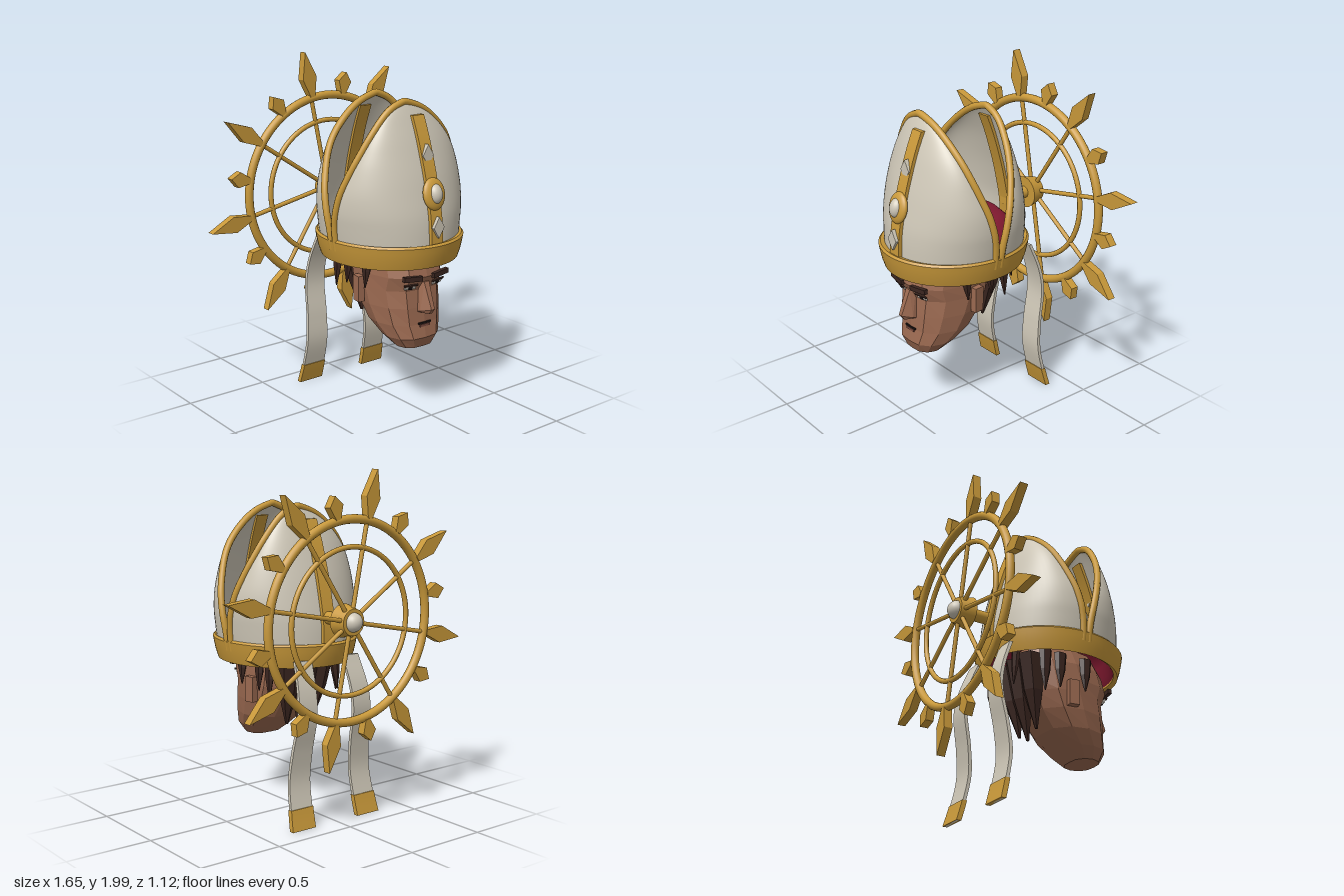
import * as THREE from 'three';
import { toCreasedNormals } from 'three/addons/utils/BufferGeometryUtils.js';
import { ConvexGeometry } from 'three/addons/geometries/ConvexGeometry.js';

const V = (x, y, z) => new THREE.Vector3(x, y, z);

function material(name, color, extra = {}) {
  const m = new THREE.MeshStandardMaterial({ color, ...extra });
  m.name = name;
  return m;
}

// Skin a list of rings, lowest first, each running front -> +x -> back
function loft(rings, closed = true) {
  const n = rings[0].length, pos = [], idx = [];
  rings.forEach(r => r.forEach(p => pos.push(p.x, p.y, p.z)));
  const spans = closed ? n : n - 1;
  for (let i = 0; i < rings.length - 1; i++) {
    for (let j = 0; j < spans; j++) {
      const k = (j + 1) % n, a = i * n + j, b = i * n + k;
      idx.push(a, b, a + n, b, b + n, a + n);
    }
  }
  if (closed) {
    [0, rings.length - 1].forEach((i, top) => {
      const c = V(0, 0, 0);
      rings[i].forEach(p => c.addScaledVector(p, 1 / n));
      const ci = pos.length / 3;
      pos.push(c.x, c.y, c.z);
      for (let j = 0; j < n; j++) {
        const a = i * n + j, b = i * n + (j + 1) % n;
        idx.push(ci, top ? a : b, top ? b : a);
      }
    });
  }
  const g = new THREE.BufferGeometry();
  g.setAttribute('position', new THREE.Float32BufferAttribute(pos, 3));
  g.setIndex(idx);
  g.computeVertexNormals();
  return g;
}

// Strip of rectangular section following points that rise in y
function ribbon(points, halfWidth, halfThick) {
  return toCreasedNormals(loft(points.map((p, i) => {
    const w = halfWidth(i / (points.length - 1)), t = halfThick;
    return [[-w, t], [w, t], [w, -t], [-w, -t]].map(([x, z]) => V(p.x + x, p.y, p.z + z));
  })), 0.7);
}

export function createModel() {
  const root = new THREE.Group();
  root.name = 'mitredHead';
  const gold = material('gold', 0xc9993a);
  const ivory = material('ivory', 0xcfc8b8, { side: THREE.DoubleSide });
  const crimson = material('crimson', 0x8a1c34, { side: THREE.DoubleSide });
  const skin = material('skin', 0x9c6a51, { flatShading: true });
  const hair = material('hair', 0x3b2620, { flatShading: true });
  const white = material('eyeWhite', 0xd8d0c4);
  const dark = material('pupil', 0x1c1412);
  const lip = material('lip', 0x7c4c3f);
  const add = (parent, name, geo, mat, x = 0, y = 0, z = 0) => {
    const m = new THREE.Mesh(geo, mat);
    m.name = name;
    m.position.set(x, y, z);
    parent.add(m);
    return m;
  };
  const group = (parent, name, x = 0, y = 0, z = 0) => {
    const g = new THREE.Group();
    g.name = name;
    g.position.set(x, y, z);
    parent.add(g);
    return g;
  };

  // Mitre: rows of [height, half width, edge z, middle z]
  const mitre = group(root, 'mitre', 0, 0, 0.11);
  const rows = [
    [0.98, 0.385, 0.02, 0.4], [1.04, 0.395, 0.02, 0.4], [1.12, 0.405, 0.027, 0.397],
    [1.2, 0.41, 0.043, 0.388], [1.3, 0.4, 0.07, 0.367], [1.4, 0.37, 0.103, 0.343],
    [1.5, 0.328, 0.135, 0.313], [1.6, 0.268, 0.16, 0.28], [1.7, 0.18, 0.178, 0.24],
    [1.76, 0.1, 0.186, 0.212], [1.797, 0.004, 0.19, 0.193]];
  const spline = f => new THREE.CatmullRomCurve3(rows.map(f), false, 'catmullrom', 0.5);
  const edge = spline(r => V(r[1], r[0], r[2]));
  const middle = spline(r => V(0, r[0], r[3]));
  const lean = y => -0.055 * THREE.MathUtils.clamp((y - 1.5) / 0.3, 0, 1) ** 2;
  const steps = Array.from({ length: 37 }, (_, i) => i / 36);
  const shellGeo = loft(steps.map(t => {
    const e = edge.getPoint(t), f = middle.getPoint(t);
    return Array.from({ length: 33 }, (_, j) => {
      const a = (j / 16 - 1) * Math.PI / 2;
      return V(e.x * Math.sin(a) + lean(e.y), e.y, e.z + (f.z - e.z) * Math.cos(a));
    });
  }), false);
  const side = s => steps.slice(0, 36).map(t => {
    const e = edge.getPoint(t);
    return V(s * e.x + lean(e.y), e.y, e.z);
  });
  const peak = V(lean(1.8), 1.795, 0.19);
  const trimPath = new THREE.CatmullRomCurve3([...side(-1), peak, ...side(1).reverse()]);
  const trimGeo = new THREE.TubeGeometry(trimPath, 140, 0.02, 10);
  const stripePoints = steps.map(t => middle.getPoint(t)).filter(p => p.y < 1.735);
  const stripeGeo = ribbon(stripePoints, () => 0.04, 0.02);
  ['front', 'back'].forEach((name, i) => {
    const half = group(mitre, name + 'Half');
    half.rotation.y = i * Math.PI;
    add(half, 'shell', shellGeo, ivory);
    add(half, 'edgeTrim', trimGeo, gold);
    add(half, 'centreStripe', stripeGeo, gold);
  });

  // Band and crimson cap inside
  const lathe = pts => toCreasedNormals(
    new THREE.LatheGeometry(pts.map(p => new THREE.Vector2(...p)), 64), 0.6);
  const band = add(mitre, 'band', lathe([[0.36, 0.92], [0.382, 0.905], [0.396, 0.95], [0.406, 1],
    [0.411, 1.03], [0.4, 1.042], [0.365, 1.03], [0.36, 0.92]]), gold);
  band.scale.z = 1.085;
  const cap = add(mitre, 'innerCap', lathe([[0.365, 0.925], [0.345, 0.97], [0.335, 1.05],
    [0.31, 1.12], [0.25, 1.18], [0.15, 1.22], [0, 1.235]]), crimson);
  cap.scale.z = 1.08;

  // Medallion and diamonds on the front stripe
  const medal = group(root, 'medallion', 0, 1.31, 0.495);
  medal.rotation.x = -0.22;
  add(medal, 'setting', new THREE.SphereGeometry(1, 32, 16), gold).scale.set(0.075, 0.09, 0.03);
  add(medal, 'pearl', new THREE.SphereGeometry(1, 24, 16), ivory, 0, 0, 0.012)
    .scale.set(0.042, 0.056, 0.04);
  const diamond = new THREE.CylinderGeometry(1, 1, 1, 4).rotateX(Math.PI / 2).toNonIndexed();
  diamond.computeVertexNormals();
  [[1.13, 0.525], [1.515, 0.428]].forEach(([y, z]) =>
    add(root, 'diamond', diamond, ivory, 0, y, z).scale.set(0.038, 0.06, 0.038));

  // Wheel halo
  const halo = group(root, 'halo', 0, 1.18, -0.49);
  add(halo, 'outerRing', new THREE.TorusGeometry(0.56, 0.025, 14, 96), gold);
  add(halo, 'innerRing', new THREE.TorusGeometry(0.41, 0.015, 10, 80), gold);
  const ray = (tip, mid, w) => new THREE.ExtrudeGeometry(new THREE.Shape([
    [0.57, -0.015], [mid, -w], [tip, 0], [mid, w], [0.57, 0.015]].map(p => new THREE.Vector2(...p))),
  { depth: 0.05, bevelEnabled: false }).translate(0, 0, -0.025);
  const longRay = ray(0.84, 0.685, 0.049), shortRay = ray(0.7, 0.645, 0.046);
  const spoke = new THREE.CylinderGeometry(0.013, 0.013, 0.54, 10).rotateZ(Math.PI / 2).translate(0.28, 0, 0);
  for (let i = 0; i < 16; i++) {
    const a = (i + 0.5) * Math.PI / 8;
    add(halo, i % 2 ? 'shortRay' : 'longRay', i % 2 ? shortRay : longRay, gold).rotation.z = a;
    if (i % 2 === 0) add(halo, 'spoke', spoke, gold).rotation.z = a;
  }
  const rod = (r1, r2, len) => new THREE.CylinderGeometry(r1, r2, len, 32).rotateX(Math.PI / 2);
  add(halo, 'hub', rod(0.095, 0.075, 0.09), gold, 0, 0, 0.02);
  add(halo, 'hubPearl', new THREE.SphereGeometry(0.055, 24, 16), ivory, 0, 0, -0.017);
  add(halo, 'mountRod', rod(0.036, 0.036, 0.2), gold, 0, 0, 0.13);

  // Hanging ribbons with gold ends
  [-1, 1].forEach(s => {
    const path = new THREE.CatmullRomCurve3([[0.236, 0.012, -0.37], [0.229, 0.12, -0.342],
      [0.22, 0.28, -0.313], [0.21, 0.44, -0.325], [0.197, 0.65, -0.358], [0.188, 0.785, -0.34],
      [0.17, 0.95, -0.28]].map(p => V(s * p[0], p[1], p[2])));
    const pts = path.getSpacedPoints(32);
    const lappet = group(root, s > 0 ? 'leftLappet' : 'rightLappet');
    add(lappet, 'ribbon', ribbon(pts, t => 0.077 - 0.019 * t, 0.01), ivory);
    add(lappet, 'goldEnd', ribbon(pts.slice(0, 5), t => 0.081 - 0.004 * t, 0.015), gold);
  });

  // Head: rows of [height, half width, back z, front z]
  const head = group(root, 'head');
  const half = [[0.5, 0.97], [0.85, 0.8], [1, 0.5], [0.9, 0.22], [0.5, 0.02]];
  const outline = [[0, 1], ...half, [0, 0], ...half.map(([x, z]) => [-x, z]).reverse()];
  const headRows = [[0.41, 0.115, 0.25, 0.42], [0.47, 0.165, 0.17, 0.445], [0.55, 0.2, 0.07, 0.43],
    [0.65, 0.218, -0.01, 0.425], [0.75, 0.225, -0.06, 0.415], [0.83, 0.225, -0.09, 0.45],
    [0.92, 0.222, -0.11, 0.425], [1.02, 0.19, -0.09, 0.37]];
  add(head, 'skull', loft(headRows.map(([y, w, b, f]) =>
    outline.map(([x, z]) => V(x * w, y, b + (f - b) * z)))), skin);
  const pair = (...pts) => pts.flatMap(([x, y, z]) => [V(x, y, z), V(-x, y, z)]);
  add(head, 'nose', new ConvexGeometry(pair([0.018, 0.8, 0.445], [0.028, 0.8, 0.41],
    [0.012, 0.65, 0.503], [0.045, 0.635, 0.445], [0.045, 0.625, 0.41], [0.012, 0.62, 0.48])), skin);
  const plate = (w, h) => new THREE.BoxGeometry(w, h, 0.009);
  add(head, 'mouth', plate(0.09, 0.01), dark, 0, 0.555, 0.431);
  add(head, 'lowerLip', plate(0.07, 0.014), lip, 0, 0.541, 0.432);
  [-1, 1].forEach(s => {
    const eye = group(head, s > 0 ? 'leftEye' : 'rightEye', s * 0.098, 0.778, 0.418);
    eye.rotation.set(0.4, s * 0.12, 0);
    add(eye, 'white', plate(0.072, 0.024), white);
    add(eye, 'iris', plate(0.024, 0.024), dark, 0, 0, 0.003);
    add(eye, 'upperLid', plate(0.09, 0.01), hair, 0, 0.015, 0.004);
    const brow = add(head, 'eyebrow', new THREE.BoxGeometry(0.12, 0.028, 0.025), hair, s * 0.1, 0.832, 0.442);
    brow.rotation.set(0, s * 0.12, s * 0.08);
    add(head, 'ear', new THREE.BoxGeometry(0.04, 0.15, 0.062), skin, s * 0.232, 0.73, 0.127).rotation.y = s * 0.15;
  });

  // Pointed locks of hair, each sheared from root to tip
  const lock = (x, y, z, tx, ty, tz, rx, rz) => {
    const g = new THREE.CylinderGeometry(1, 0.12, 1, 6, 2), p = g.attributes.position;
    for (let i = 0; i < p.count; i++) {
      const t = 0.5 - p.getY(i), f = t === 0.5 ? 1.4 : 1;
      p.setXYZ(i, x + (tx - x) * t + p.getX(i) * rx * f, y + (ty - y) * t, z + (tz - z) * t + p.getZ(i) * rz * f);
    }
    add(head, 'hairLock', g, hair);
  };
  [-1, 1].forEach(s => {
    [[0.21, 0.75], [0.04, 0.74], [-0.06, 0.7]].forEach(([z, tip]) =>
      lock(s * 0.235, 0.95, z, s * 0.245, tip, z - 0.01, 0.025, 0.042));
    lock(s * 0.13, 0.95, -0.19, s * 0.14, 0.74, -0.21, 0.035, 0.022);
    lock(s * 0.12, 0.95, -0.09, s * 0.09, 0.53, -0.03, 0.075, 0.075);
  });
  lock(0, 0.95, -0.1, 0, 0.485, -0.03, 0.08, 0.075);

  return root;
}
